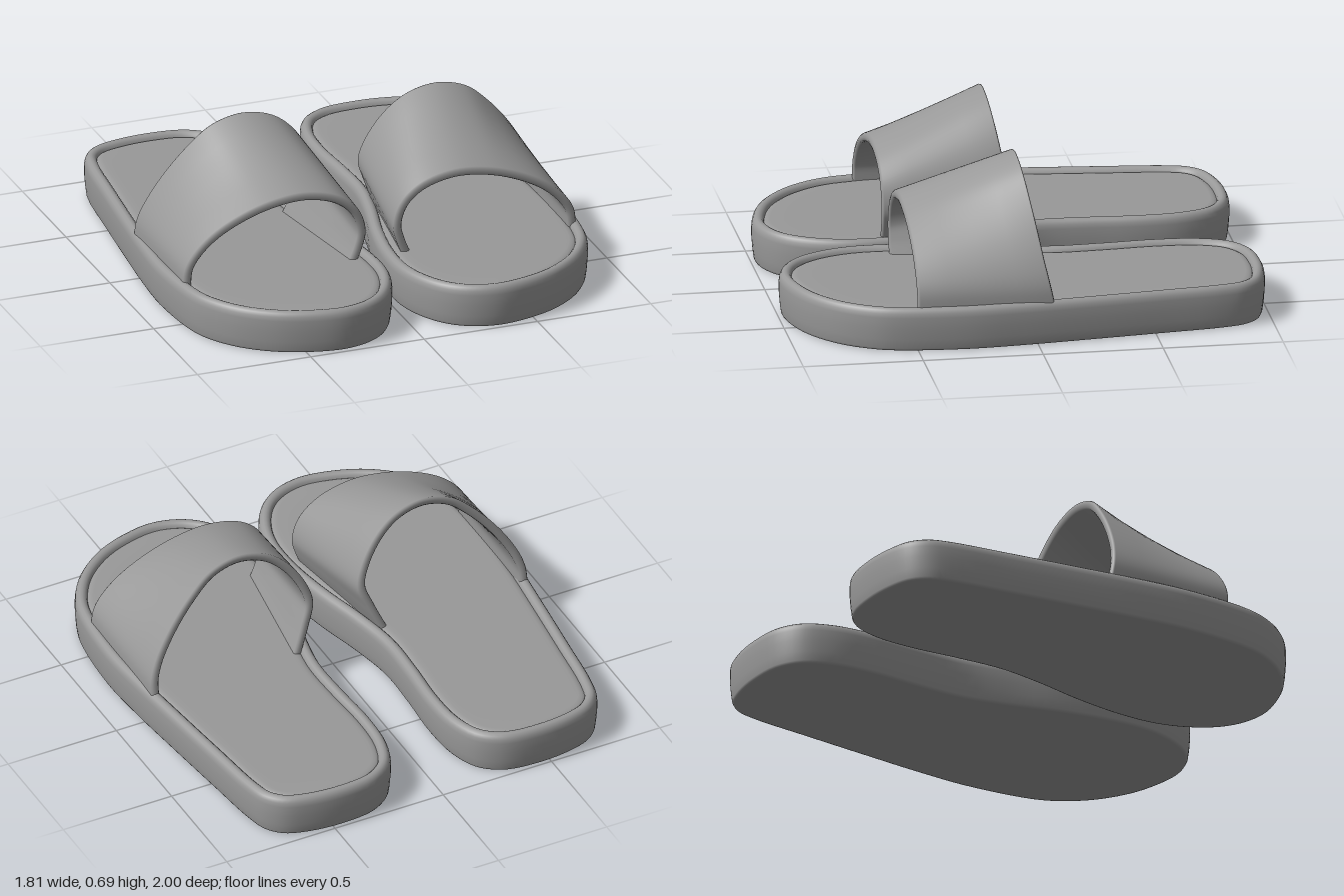
import * as THREE from 'three';

const rubber = new THREE.MeshStandardMaterial({ color: 0x999999 });
rubber.name = 'grey rubber';

// Plan outline of the left sole as [x, z], heel first, outer side, toe, inner side
const OUTLINE = [
  [0.46, -1], [0.61, -0.985], [0.71, -0.95], [0.77, -0.885], [0.798, -0.79], [0.83, -0.52], [0.865, -0.2],
  [0.89, 0.05], [0.903, 0.3], [0.875, 0.59], [0.835, 0.7], [0.75, 0.82], [0.62, 0.92], [0.48, 0.975],
  [0.34, 0.995], [0.22, 0.965], [0.13, 0.9], [0.06, 0.79], [0.02, 0.65], [0.02, 0.47], [0.055, 0.25],
  [0.11, 0.03], [0.145, -0.17], [0.142, -0.38], [0.13, -0.6], [0.145, -0.78], [0.2, -0.91], [0.3, -0.98]
];
// Strap arches as [x, y], inner side to outer side
const FRONT_ARCH = [
  [0.1, 0.15], [0.073, 0.22], [0.06, 0.28], [0.073, 0.35], [0.11, 0.41], [0.19, 0.467], [0.33, 0.5],
  [0.48, 0.486], [0.62, 0.442], [0.74, 0.378], [0.82, 0.305], [0.858, 0.24], [0.868, 0.15]
];
const BACK_ARCH = [
  [0.185, 0.15], [0.135, 0.27], [0.103, 0.37], [0.125, 0.46], [0.2, 0.58], [0.3, 0.66], [0.43, 0.69],
  [0.56, 0.655], [0.66, 0.57], [0.76, 0.45], [0.835, 0.325], [0.865, 0.24], [0.87, 0.15]
];

const samples = (points, closed, n) =>
  new THREE.CatmullRomCurve3(points.map(([a, b]) => new THREE.Vector3(a, b, 0)), closed, 'centripetal').getPoints(n);

// Skin rows of points, each row a closed loop; side -1 mirrors the surface in x
function loft(rows, side, flip) {
  const n = rows[0].length, position = [], index = [];
  for (const row of rows) for (const [x, y, z] of row) position.push(side * x, y, z);
  for (let i = 0; i < rows.length - 1; i++) {
    for (let j = 0; j < n; j++) {
      const a = i * n + j, b = i * n + (j + 1) % n, c = a + n, d = b + n;
      if ((side < 0) !== flip) index.push(a, b, c, b, d, c);
      else index.push(a, c, b, b, c, d);
    }
  }
  const geometry = new THREE.BufferGeometry();
  geometry.setAttribute('position', new THREE.Float32BufferAttribute(position, 3));
  geometry.setIndex(index);
  geometry.computeVertexNormals();
  return geometry;
}

// Outline moved inwards by inset, then scaled about the sole's middle
const outline = samples(OUTLINE, true, 120).slice(0, -1);
function soleRow([inset, y, scale = 1]) {
  const n = outline.length;
  return outline.map((p, i) => {
    const t = outline[(i + 1) % n].clone().sub(outline[(i + n - 1) % n]).normalize();
    const x = p.x - t.y * inset, z = p.y + t.x * inset;
    return [0.46 + (x - 0.46) * scale, y, z * scale];
  });
}

// Base with a rounded raised rim
const SOLE = [
  [0.022, 0, 0], [0.022, 0, 0.97], [0.022, 0], [0.014, 0.003], [0.009, 0.012], [0.004, 0.05], [0, 0.1],
  [0, 0.145], [0.003, 0.163], [0.01, 0.176], [0.02, 0.183], [0.031, 0.184], [0.041, 0.18], [0.049, 0.172], [0.053, 0.16]
];
// Shallow cushioned insole meeting the rim in a groove
const INSOLE = [
  [0.05, 0.16], [0.056, 0.164], [0.064, 0.168], [0.078, 0.17], [0.078, 0.17, 0.93], [0.078, 0.17, 0.5], [0.078, 0.17, 0]
];

// Strap cross-section as [position from front to back, depth through the thickness]
const STRAP = [
  [0.02, 0], [0.25, 0], [0.5, 0], [0.75, 0], [0.98, 0], [0.994, 0.15], [1, 0.5], [0.994, 0.85],
  [0.98, 1], [0.75, 1], [0.5, 1], [0.25, 1], [0.02, 1], [0.006, 0.85], [0, 0.5], [0.006, 0.15]
];
function strapRows() {
  const n = 72, thickness = 0.036;
  const front = samples(FRONT_ARCH, false, n), back = samples(BACK_ARCH, false, n);
  const at = (i, t) => front[i].clone().lerp(back[i], t);
  return front.map((_, i) => STRAP.map(([t, depth]) => {
    const p = at(i, t);
    const tangent = at(Math.min(i + 1, n), t).sub(at(Math.max(i - 1, 0), t)).normalize();
    // The back edge leans forward towards the top
    const h = back[i].y;
    const zBack = h < 0.35 ? -0.07 + (h - 0.18) * 0.2 : -0.036 + (h - 0.35) * 0.16;
    return [
      p.x + tangent.y * depth * thickness,
      p.y - tangent.x * depth * thickness,
      THREE.MathUtils.lerp(0.5, zBack, t)
    ];
  }));
}

function createSlide(side) {
  const slide = new THREE.Group();
  slide.name = side > 0 ? 'leftSlide' : 'rightSlide';
  const add = (name, geometry) => {
    const mesh = new THREE.Mesh(geometry, rubber);
    mesh.name = name;
    slide.add(mesh);
  };
  add('sole', loft(SOLE.map(soleRow), side, false));
  add('insole', loft(INSOLE.map(soleRow), side, false));
  add('strap', loft(strapRows(), side, false));
  return slide;
}

export function createModel() {
  const model = new THREE.Group();
  model.name = 'slideSandals';
  model.add(createSlide(1), createSlide(-1));
  return model;
}
